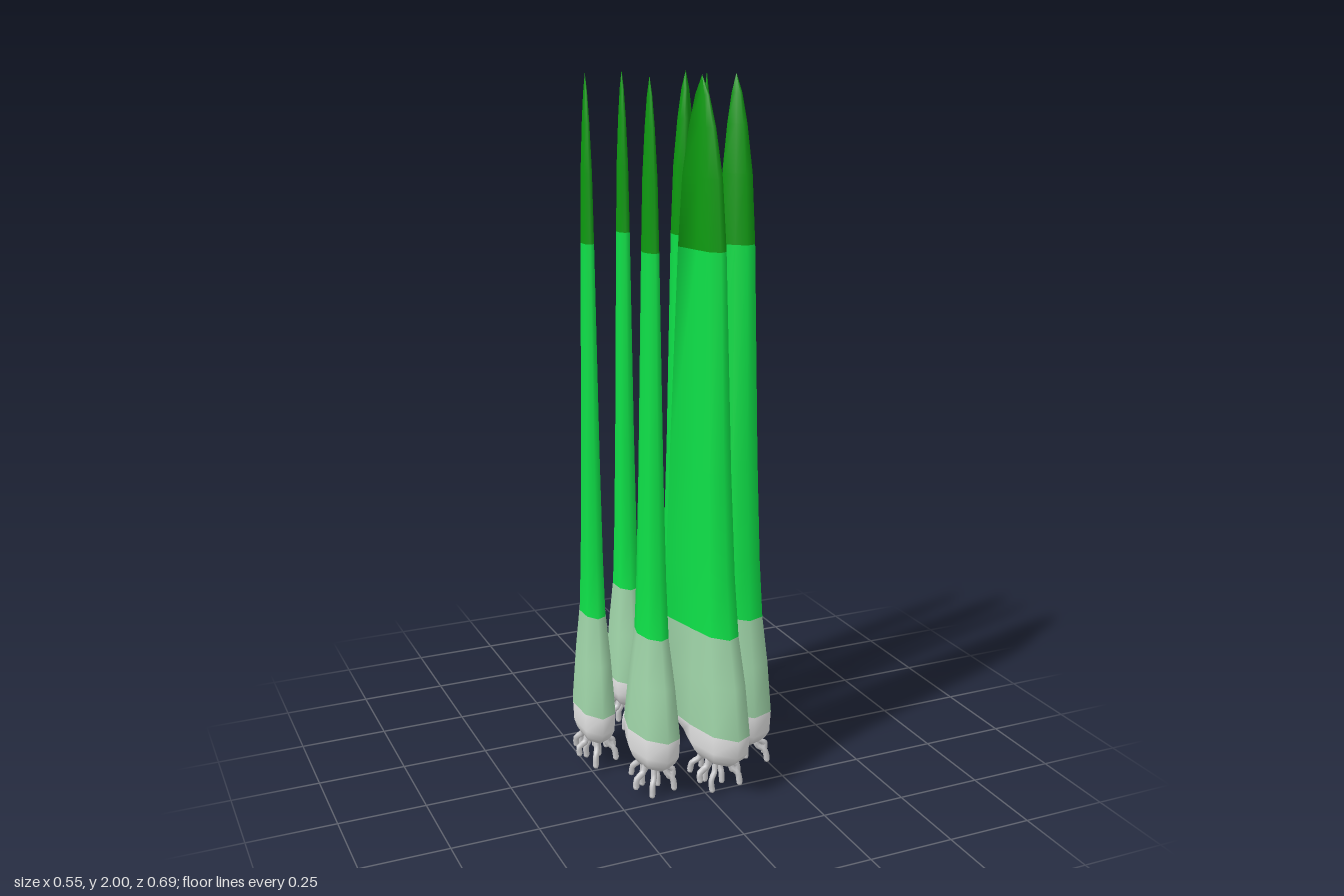
import * as THREE from 'three';
import { mergeGeometries } from 'three/addons/utils/BufferGeometryUtils.js';

const mat = (name, color) => {
  const m = new THREE.MeshStandardMaterial({ color });
  m.name = name;
  return m;
};

const SIDES = 8;
const PHASE = 0.16;

// base centre, tip centre, base radii, bulb bottom height, lean of the section;
// fat stalks carry a ridge: a corner that one section vertex is pulled out to
const STALKS = [
  { base: [-0.217, -0.065], tip: [-0.217, -0.065], r: [0.06, 0.127], bottom: 0.09, lean: -0.08 },
  { base: [-0.045, -0.23], tip: [-0.045, -0.232], r: [0.065, 0.116], bottom: 0.1, lean: -0.08 },
  { base: [0.083, -0.132], tip: [0.107, -0.135], r: [0.073, 0.112], bottom: 0.13, lean: -0.22, ridge: [0.175, -0.152], at: 0 },
  { base: [0.131, -0.052], tip: [0.132, -0.05], r: [0.064, 0.077], bottom: 0.12, lean: -0.15 },
  { base: [0.181, 0.105], tip: [0.15, 0.095], r: [0.085, 0.125], bottom: 0.08, lean: 0, ridge: [0.07, 0.105], at: 4 },
  { base: [0.05, 0.21], tip: [0.02, 0.16], r: [0.068, 0.136], bottom: 0.09, lean: 0.14, ridge: [-0.04, 0.055], at: 5 },
  { base: [-0.127, 0.16], tip: [-0.125, 0.155], r: [0.064, 0.12], bottom: 0.085, lean: 0.08 },
];

// Rows of [height, width, ridge reach, material index of the band above]
function stalkRows({ bottom, ridge }) {
  const g = ridge ? 0.76 : 0.6;
  const d = ridge ? 0.46 : 0.3;
  return [
    [bottom - 0.006, 0, 0, 0],
    [bottom, 0.62, 0, 1],
    [bottom + 0.02, 0.82, 0, 1],
    [bottom + 0.045, 0.96, 0, 1],
    [0.19, 1, 0.9, 2],
    [0.34, (1 + g) / 2 + 0.02, 0.95, 2],
    [0.48, g, 1, 3],
    [0.65, g * 0.72 + d * 0.28, 0.96, 3],
    [0.95, g * 0.42 + d * 0.58, 0.86, 3],
    [1.55, d, 0.63, 4],
    [1.74, d * 0.83, 0.52, 4],
    [1.87, d * 0.55, 0.34, 4],
    [1.95, d * 0.29, 0.18, 4],
    [2, 0, 0, 4],
  ];
}

// Loft the eight-sided rows into one smooth skin with a group per colour band
function stalkGeometry(s) {
  const rows = stalkRows(s);
  const pos = [];
  const index = [];
  const geo = new THREE.BufferGeometry();
  for (const [y, w, reach] of rows) {
    for (let i = 0; i < SIDES; i++) {
      const a = PHASE + (i / SIDES) * Math.PI * 2;
      const dz = Math.sin(a) * s.r[1];
      const dx = Math.cos(a) * s.r[0] + dz * s.lean;
      let x = s.tip[0] + (s.base[0] - s.tip[0] + dx) * w;
      let z = s.tip[1] + (s.base[1] - s.tip[1] + dz) * w;
      // below the leaf the section stays centred on the bulb
      if (y < 0.19) {
        x = s.base[0] + dx * w;
        z = s.base[1] + dz * w;
      }
      if (s.ridge && i === s.at && reach > 0) {
        x = s.tip[0] + (s.ridge[0] - s.tip[0]) * reach;
        z = s.tip[1] + (s.ridge[1] - s.tip[1]) * reach;
      }
      pos.push(x, y, z);
    }
  }
  for (let j = 0; j < rows.length - 1; j++) {
    geo.addGroup(index.length, SIDES * 6, rows[j][3]);
    for (let i = 0; i < SIDES; i++) {
      const a = j * SIDES + i;
      const b = j * SIDES + ((i + 1) % SIDES);
      index.push(a, a + SIDES, b, b, a + SIDES, b + SIDES);
    }
  }
  geo.setAttribute('position', new THREE.Float32BufferAttribute(pos, 3));
  geo.setIndex(index);
  geo.computeVertexNormals();
  return geo;
}

// Short crooked roots fanning out below the bulb
function rootsGeometry(s, seed) {
  let n = seed * 7919 + 13;
  const rand = () => (n = (n * 16807) % 2147483647) / 2147483647;
  const parts = [];
  const count = 10;
  for (let k = 0; k < count; k++) {
    const a = (k / count) * Math.PI * 2 + rand() * 0.4;
    const outer = k % 3 === 2 ? 0.45 : 1;
    const drop = k % 2 ? 0.071 : 0.05 + rand() * 0.015;
    const at = (fx, fz, down) => new THREE.Vector3(
      s.base[0] + Math.cos(a) * s.r[0] * fx * outer,
      s.bottom - down,
      s.base[1] + Math.sin(a) * s.r[1] * fz * outer,
    );
    const end = at(0.9 + rand() * 0.15, 0.62, drop);
    const curve = new THREE.CatmullRomCurve3([
      at(0.45, 0.4, -0.01),
      at(0.6, 0.48, drop * 0.35),
      at(0.95, 0.58, drop * 0.6),
      end,
    ]);
    parts.push(new THREE.TubeGeometry(curve, 7, 0.009, 6));
    parts.push(new THREE.SphereGeometry(0.0092, 6, 4).translate(end.x, end.y, end.z));
  }
  return mergeGeometries(parts);
}

export function createModel() {
  const skin = [
    mat('root plate brown', 0x8a6535),
    mat('bulb white', 0xe4e4e4),
    mat('pale green', 0x9fd4a8),
    mat('leaf green', 0x0ee048),
    mat('dark tip green', 0x0d9a10),
  ];
  const rootGrey = mat('root grey', 0xcbcbcd);

  const model = new THREE.Group();
  model.name = 'springOnionBunch';
  STALKS.forEach((s, i) => {
    const onion = new THREE.Group();
    onion.name = `onion${i + 1}`;
    const stalk = new THREE.Mesh(stalkGeometry(s), skin);
    stalk.name = 'stalk';
    const roots = new THREE.Mesh(rootsGeometry(s, i + 1), rootGrey);
    roots.name = 'roots';
    onion.add(stalk, roots);
    model.add(onion);
  });
  return model;
}
